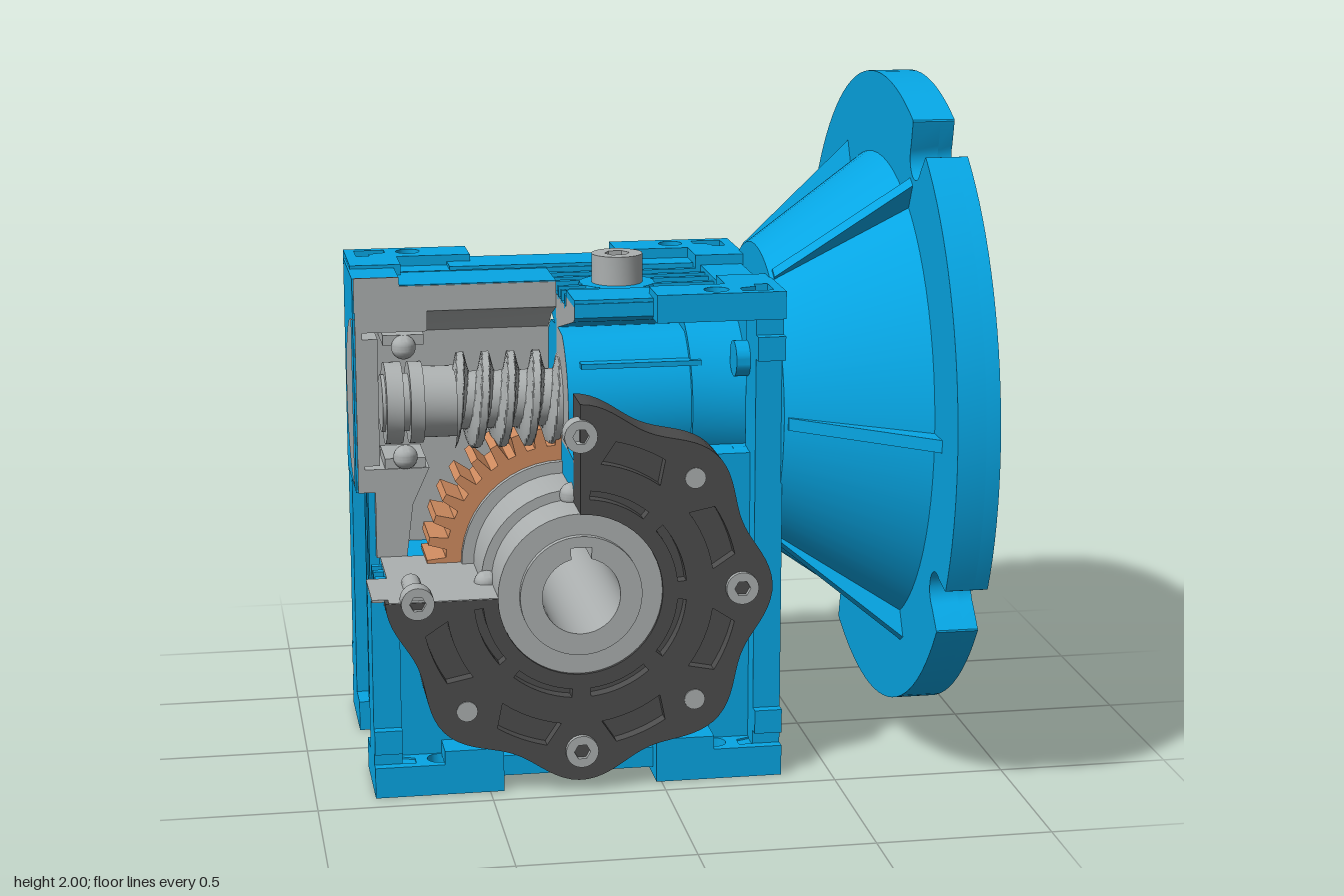
import * as THREE from 'three';
import { toCreasedNormals } from 'three/addons/utils/BufferGeometryUtils.js';

const paint = (name, color) => Object.assign(new THREE.MeshStandardMaterial({ color }), { name });
const PI = Math.PI, CX = -0.24, WY = 0.59, AY = 1.06; // wheel axis x, y and worm axis y

export function createModel() {
  const blue = paint('blue paint', 0x06a6e4), grey = paint('bare steel', 0xacb0b0);
  const dark = paint('dark cover', 0x4d4d4d), bronze = paint('bronze', 0xd08c60);
  const root = new THREE.Group();

  const add = (name, geo, mat, x = 0, y = 0, z = 0, parent = root) => {
    const m = new THREE.Mesh(toCreasedNormals(geo, 0.5), mat);
    m.name = name;
    m.position.set(x, y, z);
    parent.add(m);
    return m;
  };
  const box = (name, mat, x0, x1, y0, y1, z0, z1) =>
    add(name, new THREE.BoxGeometry(x1 - x0, y1 - y0, z1 - z0), mat, (x0 + x1) / 2, (y0 + y1) / 2, (z0 + z1) / 2);
  const alongX = (name, mat, r, x0, x1, y = AY, z = 0) =>
    add(name, new THREE.CylinderGeometry(r, r, x1 - x0, 36).rotateZ(-PI / 2), mat, (x0 + x1) / 2, y, z);
  const poly = (pts) => new THREE.Shape(pts.map(([x, y]) => new THREE.Vector2(x, y)));
  const polar = (r, a) => [r * Math.cos(a), r * Math.sin(a)];
  const arc = (r, a0, a1, n, x = 0, y = 0) => Array.from({ length: n + 1 }, (_, i) => {
    const [u, v] = polar(r, a0 + (a1 - a0) * i / n);
    return [x + u, y + v];
  });
  const circle = (r, n = 40) => poly(arc(r, 0, 2 * PI * (n - 1) / n, n - 1));
  const extrude = (shape, depth, holes = []) => {
    shape.holes.push(...holes);
    return new THREE.ExtrudeGeometry(shape, { depth, bevelEnabled: false });
  };
  const ring = (ro, ri, depth) => extrude(circle(ro, 48), depth, [circle(ri, 48)]);
  // profile of (z, y) points swept along x
  const sweepX = (name, pts, x0, x1, mats) =>
    add(name, extrude(poly(pts.map(([z, y]) => [-z, y])), x1 - x0).rotateY(PI / 2), mats, x0);
  // round bore with a keyway at the top
  const keyBore = (r) => poly([[0.03, r + 0.03], [-0.03, r + 0.03], ...arc(r, PI / 2 + 0.26, PI * 2.5 - 0.26, 36)]);

  // socket screw with its head pointing along +z
  const screw = (name, r, h, x, y, z) => {
    const g = new THREE.Group();
    g.name = name;
    add('screwHead', extrude(circle(r, 24), h, [circle(r * 0.5, 6)]), grey, 0, 0, 0, g);
    add('socketFloor', extrude(circle(r * 0.9, 24), h * 0.4), grey, 0, 0, 0.002, g);
    g.position.set(x, y, z);
    root.add(g);
    return g;
  };

  // ---- wheel case, bored through; its front loses the upper left quarter
  const caseBack = poly([[-0.77, 0.08], [0.3, 0.08], [0.3, 0.95], [-0.77, 0.95]]);
  add('wheelCaseBack', extrude(caseBack, 0.15, [poly(arc(0.172, 0, PI * 1.95, 39, CX, WY))]), blue, 0, 0, -0.33);
  const caseFront = poly([[-0.77, 0.08], [0.3, 0.08], [0.3, 0.95], [CX, 0.95],
    ...arc(0.172, PI / 2, -PI, 36, CX, WY), [-0.77, WY]]);
  add('wheelCaseFront', extrude(caseFront, 0.51), blue, 0, 0, -0.18);

  // ---- worm case: one side profile (z, y) used for the front right and the whole back
  const profile = (z0, s) => [[z0, 0.94], [0.33, 0.94], [0.33, 0.95],
    ...arc(0.24, -0.45, 1.05, 14, 0, AY).map(([z, y]) => [Math.max(z, z0 + 0.03), y]),
    [z0 + 0.03, 1.275], [0.35, 1.355], [0.37, 1.37], [0.37, 1.41], [0.2, 1.41], [0.2, 1.37], [z0, 1.37]]
    .map(([z, y]) => [z * s, y]);
  sweepX('frontHousing', profile(0, 1), CX, 0.3, [grey, blue]);
  sweepX('backHousing', profile(0, -1), CX, 0.3, blue);
  sweepX('backHousingLeft', profile(0.18, -1), -0.79, CX, blue);
  alongX('wormBoss', blue, 0.26, 0.12, 0.29);
  for (const sz of [1, -1]) {
    box('sideRib', blue, -0.2, 0.15, 1.19, 1.205, sz * 0.2 - 0.03, sz * 0.2 + 0.03);
    box('bottomRail', blue, -0.5, 0.02, 0.025, 0.085, sz * 0.28 - 0.09, sz * 0.28 + 0.09);
    box('topPlate', blue, sz > 0 ? CX : -0.53, 0.05, 1.4, 1.42, sz * 0.285 - 0.08, sz * 0.285 + 0.08);
    for (const y of [-0.157, 0.157]) alongX('screwBoss', blue, 0.052, 0.235, 0.355, AY + y, sz * 0.273);
    for (const sx of [1, -1]) {
      const x = sx > 0 ? 0.315 : -0.79, cut = sx < 0 && sz > 0;
      box('cornerPost', blue, x - 0.04, x + 0.04, 0.02, cut ? WY - 0.005 : 1.4, sz * 0.33 - 0.07, sz * 0.33 + 0.07);
      // L-shaped mounting feet, below and above
      const X = (d) => -0.2375 + sx * (0.5925 - d), Z = (d) => -sz * (0.43 - d);
      const foot = (name, y, h) => {
        const hole = poly(arc(0.036, 0, PI * 1.9, 19, X(0.19), Z(0.06)));
        const l = [[0, 0], [0, 0.27], [0.15, 0.27], [0.15, 0.14], [0.37, 0.14], [0.37, 0]];
        const pad = poly([[0.03, 0.03], [0.12, 0.03], [0.12, 0.07], [0.07, 0.09], [0.07, 0.12], [0.03, 0.12]]
          .map(([a, b]) => [X(a), Z(b)]));
        add(name, extrude(poly(l.map(([a, b]) => [X(a), Z(b)])), h, [hole, pad]).rotateX(-PI / 2), blue, 0, y);
      };
      foot('bottomFoot', 0, 0.09);
      const f = (x0, x1, y0, y1) => box('footBlock', blue, Math.min(X(x0), X(x1)), Math.max(X(x0), X(x1)), y0, y1,
        sz > 0 ? 0.3 : -0.43, sz > 0 ? 0.43 : -0.3);
      f(0, 0.08, 0.13, 0.2);
      f(0.2, 0.37, 0.085, 0.13);
      f(0.005, 0.14, 0.04, 0.085);
      if (!cut) {
        foot('topFoot', 1.36, 0.08);
        f(0, 0.08, 1.24, 1.31);
        f(0.005, 0.14, 1.365, 1.4);
      }
    }
  }
  box('rightWall', blue, 0.28, 0.32, 0.08, 1.4, -0.3, 0.3);
  box('rightTopBar', blue, 0.22, 0.345, 1.33, 1.41, -0.2, 0.2);
  box('leftTopBar', blue, -0.83, -0.7, 1.38, 1.43, -0.2, -0.008);

  // cooling ribs on top, underneath and on both ends
  for (const z of [-0.17, -0.1, -0.04, 0.04, 0.1, 0.17]) {
    box('topRib', blue, z > 0 ? CX : -0.68, 0.22, 1.36, 1.4, z - 0.01, z + 0.01);
    box('bottomRib', blue, -0.79, 0.32, 0.05, 0.09, z - 0.012, z + 0.012);
    box('rightRib', blue, 0.3, 0.345, 0.07, 0.575, z - 0.012, z + 0.012);
    box('leftRib', blue, -0.8, -0.765, 0.07, z < 0 ? 0.79 : 0.58, z - 0.012, z + 0.012);
  }
  for (const [top, y] of [[1, 1.36], [-1, 0.09]]) {
    add('plugBoss', new THREE.CylinderGeometry(0.11, 0.14, 0.08, 32), blue, -0.06, y, 0).rotation.x = top > 0 ? 0 : PI;
    screw('fillerPlug', top > 0 ? 0.075 : 0.05, top > 0 ? 0.1 : 0.025, -0.06, top > 0 ? 1.385 : 0.055, 0).rotation.x = -top * PI / 2;
  }

  // back bearing boss
  const lobed = (r, a0, a1, n) => Array.from({ length: n }, (_, i) => {
    const a = a0 + (a1 - a0) * i / (n - 1);
    return polar(r + 0.025 * Math.cos(8 * a), a);
  });
  add('backBoss', extrude(poly(lobed(0.52, 0, 2 * PI * 0.992, 128)), 0.06, [circle(0.23)]), blue, CX, WY, -0.385);
  for (const [ro, ri] of [[0.43, 0.4], [0.32, 0.24]]) add('backRing', ring(ro, ri, 0.02), blue, CX, WY, -0.4);
  for (let k = 0; k < 4; k++) {
    const [x, y] = polar(0.465, PI / 4 + k * PI / 2);
    add('backHole', extrude(circle(0.028, 20), 0.008), grey, CX + x, WY + y, -0.389);
  }

  // ---- cutaway: section faces and cavity
  const section = poly([[-0.83, 1.36], [-0.83, 0.79], [-0.78, 0.79], [-0.78, WY], [-0.69, WY], [-0.67, 0.75],
    [-0.62, 0.86], [-0.81, 0.86], [-0.81, 1.27], [-0.62, 1.27], [-0.62, 1.33], [CX, 1.33], [CX, 1.405], [-0.72, 1.405]]);
  add('sectionFace', extrude(section, 0.18), grey, 0, 0, -0.18);
  const wall = poly([[-0.82, 0.8], [-0.77, 0.8], [-0.77, 0.592], ...arc(0.172, PI, PI / 2, 12, CX, WY), [CX, 1.34], [-0.82, 1.34]]);
  add('cavityWall', extrude(wall, 0.015), grey, 0, 0, -0.185);
  sweepX('cavityCeiling', [[-0.18, 1.335], [-0.18, 1.23], [-0.1, 1.29], [0, 1.33], [-0.005, 1.335]], -0.62, CX, grey);
  box('topSection', grey, -0.832, -0.7, 1.33, 1.432, -0.008, 0);
  box('sectionSkinTop', blue, -0.7, CX, 1.4, 1.408, -0.2, -0.004);
  box('leftEndPlate', blue, -0.836, -0.825, 0.79, 1.43, -0.34, -0.008);
  add('endCap', new THREE.CylinderGeometry(0.25, 0.25, 0.01, 40, 1, false, PI / 2, PI).rotateZ(PI / 2), grey, -0.835, AY, -0.002);
  box('floorSection', grey, -0.77, -0.41, WY - 0.006, WY + 0.002, 0, 0.362);
  box('wallSection', grey, -0.83, -0.64, WY - 0.006, WY + 0.002, 0.22, 0.43);
  box('coverSection', grey, -0.785, -0.475, WY - 0.006, WY + 0.002, 0.36, 0.468);

  // ---- worm, shaft and bearing
  alongX('wormShaft', grey, 0.085, -0.76, CX);
  alongX('bearingInner', grey, 0.12, -0.75, -0.7);
  alongX('bearingInner', grey, 0.12, -0.68, -0.64);
  alongX('wormCollar', grey, 0.105, -0.64, -0.54);
  box('endSeal', grey, -0.815, -0.765, 0.87, 1.25, -0.17, -0.003);
  const ball = (x, y, z) => add('bearingBall', new THREE.SphereGeometry(0.036, 20, 14), grey, x, y, z);
  for (const s of [1, -1]) {
    box('bearingOuter', grey, -0.75, -0.63, AY + s * 0.185 - 0.015, AY + s * 0.185 + 0.015, -0.17, -0.005);
    ball(-0.69, AY + s * 0.165, 0);
  }
  ball(CX - 0.25, WY, 0.3);
  ball(CX, WY + 0.25, 0.3);
  const worm = new THREE.CylinderGeometry(1, 1, 0.31, 32, 90, true).rotateZ(-PI / 2);
  const p = worm.attributes.position;
  for (let i = 0; i < p.count; i++) {
    const a = Math.atan2(p.getZ(i), p.getY(i));
    const r = 0.112 + 0.03 * THREE.MathUtils.clamp(1.8 * Math.sin(2 * PI * p.getX(i) / 0.075 + a), -1, 1);
    p.setXYZ(i, p.getX(i), r * Math.cos(a), r * Math.sin(a));
  }
  worm.computeVertexNormals();
  add('worm', worm, grey, CX - 0.155, AY, 0);

  // ---- worm wheel and hollow output shaft
  const teeth = [];
  for (let k = 0; k < 36; k++) {
    for (const [r, d] of [[0.345, -0.3], [0.4, -0.17], [0.4, 0.17], [0.345, 0.3]]) teeth.push(polar(r, (k + d) * PI / 18));
  }
  add('wormWheel', extrude(poly(teeth), 0.18, [circle(0.29)]), bronze, CX, WY, -0.09);
  add('wheelWeb', ring(0.3, 0.15, 0.21), grey, CX, WY, -0.1);
  add('bearingSleeve', ring(0.265, 0.15, 0.2), grey, CX, WY, 0.1);
  add('outputShaft', extrude(circle(0.175, 48), 0.935, [keyBore(0.112)]), grey, CX, WY, -0.455);
  add('frontSeal', ring(0.236, 0.17, 0.18), grey, CX, WY, 0.28);
  add('backSeal', ring(0.236, 0.17, 0.1), grey, CX, WY, -0.4);

  // ---- front cover with a quarter removed
  const sector = () => poly([...lobed(0.53, -PI, PI / 2, 110), ...arc(0.236, PI / 2, -PI, 40)]);
  const slots = [];
  for (let k = 0; k < 6; k++) {
    const c = (-157.5 + 45 * k) * PI / 180;
    slots.push(poly([...arc(0.305, c - 0.3, c + 0.3, 8), ...arc(0.28, c + 0.3, c - 0.3, 8)]));
    slots.push(poly([...arc(0.455, c - 0.17, c + 0.17, 6), ...arc(0.385, c + 0.24, c - 0.24, 6)]));
  }
  add('coverBase', extrude(sector(), 0.1), dark, CX, WY, 0.33);
  add('coverFace', extrude(sector(), 0.04, slots), dark, CX, WY, 0.43);
  for (let k = 0; k < 4; k++) {
    const [x, y] = polar(0.465, k * PI / 2);
    screw('coverScrew', 0.047, 0.055, CX + x, WY + y, 0.43);
    if (k === 1) continue;
    const [u, v] = polar(0.465, k * PI / 2 + PI / 4);
    add('coverHole', extrude(circle(0.03, 20), 0.006), grey, CX + u, WY + v, 0.468);
  }
  add('cutScrewShank', new THREE.CylinderGeometry(0.028, 0.028, 0.18, 16).rotateX(PI / 2), grey, CX - 0.465, WY, 0.36);

  // ---- motor bell flange
  const bell = [[0, 0.35], [0.44, 0.35], [0.7, 0.72], [0.7, 0.838], [0.666, 0.838], [0.385, 0.44], [0, 0.44]];
  add('bellCone', new THREE.LatheGeometry(bell.map(([r, x]) => new THREE.Vector2(r, x)), 72).rotateZ(-PI / 2), blue, 0, AY, 0);
  const rim = () => {
    const pts = [];
    for (let k = 0; k < 4; k++) {
      const a = PI / 6 + k * PI / 2;
      const slot = [[0.93, -0.08], [0.86, -0.06], ...arc(0.06, -PI / 2, -PI * 1.5, 12, 0.86, 0), [0.93, 0.08]];
      for (const [r, t] of slot) pts.push([r * Math.cos(a) - t * Math.sin(a), r * Math.sin(a) + t * Math.cos(a)]);
      pts.push(...arc(0.937, a + 0.09, a + PI / 2 - 0.09, 24));
    }
    return poly(pts);
  };
  const pockets = [];
  for (let k = 0; k < 4; k++) {
    for (const [i0, i1, o0, o1] of [[9, 24, 9, 33], [29, 61, 38, 52], [66, 81, 57, 81]]) {
      const a = [i0, i1, o0, o1].map((d) => (30 + 90 * k + d) * PI / 180);
      pockets.push(poly([...arc(0.9, a[2], a[3], 8), ...arc(0.73, a[1], a[0], 8)]));
    }
  }
  add('flangeBack', extrude(rim(), 0.08, [circle(0.667, 72)]).rotateY(PI / 2), blue, 0.72, AY, 0);
  add('flangeFace', extrude(rim(), 0.04, [circle(0.667, 72), ...pockets]).rotateY(PI / 2), blue, 0.8, AY, 0);
  for (let k = 0; k < 6; k++) {
    const rib = (name, w, pts) => add(name, extrude(poly(pts), w).translate(0, 0, -w / 2), blue, 0, AY, 0)
      .rotation.x = PI / 2 + k * PI / 3;
    rib('outerRib', 0.036, [[0.36, 0.4], [0.36, 0.455], [0.72, 0.78], [0.72, 0.65]]);
    rib('innerRib', 0.045, [[0.43, 0.31], [0.47, 0.31], [0.73, 0.57], [0.75, 0.62], [0.43, 0.4]]);
    const [z, y] = polar(0.315, PI / 2 + k * PI / 3);
    screw('flangeScrew', 0.047, 0.06, 0.44, AY + y, z).rotation.y = PI / 2;
  }

  // hollow input shaft rising from its seal
  alongX('inputSeal', grey, 0.19, 0.4, 0.455);
  add('inputShaft', extrude(circle(0.145, 48), 0.24, [keyBore(0.1)]).rotateY(PI / 2), grey, 0.44, AY, 0);
  return root;
}
